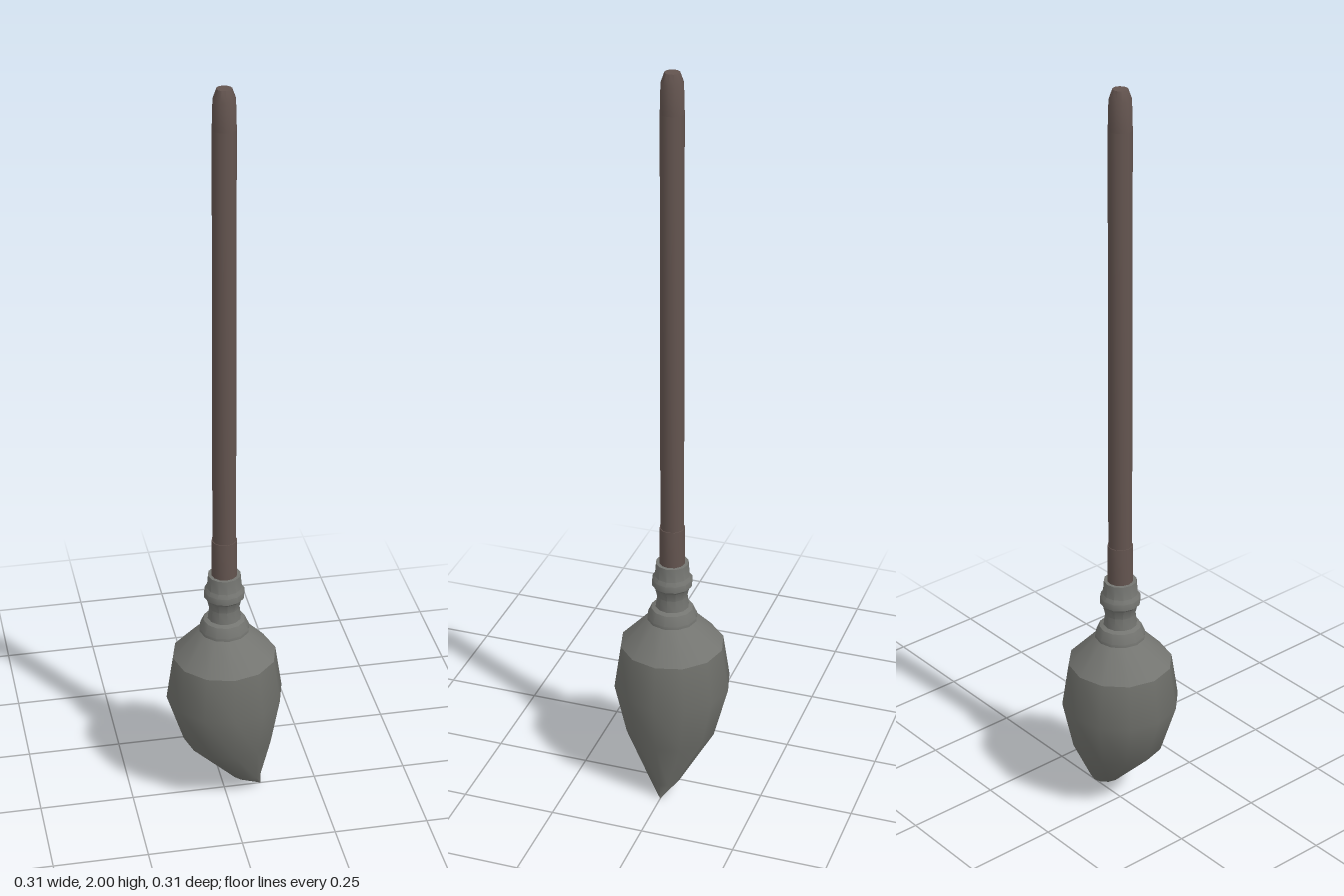
import * as THREE from 'three';
import { toCreasedNormals } from 'three/addons/utils/BufferGeometryUtils.js';

const SIDES = 12;

// Turned part from [radius, height] pairs, listed bottom to top
function turned(name, profile, material, crease = 0.6) {
  const lathe = new THREE.LatheGeometry(profile.map(([r, y]) => new THREE.Vector2(r, y)), SIDES);
  const mesh = new THREE.Mesh(crease ? toCreasedNormals(lathe, crease) : lathe, material);
  mesh.name = name;
  return mesh;
}

export function createModel() {
  const wood = new THREE.MeshStandardMaterial({ color: 0x63544f });
  wood.name = 'dark wood';
  const metal = new THREE.MeshStandardMaterial({ color: 0x747571 });
  metal.name = 'grey metal';
  const hair = new THREE.MeshStandardMaterial({ color: 0x6f706b });
  hair.name = 'grey bristle';

  const group = new THREE.Group();
  group.name = 'brush';

  // Long handle with a thicker lower sleeve and a rounded end
  group.add(turned('handleSleeve', [[0.034, 0.66], [0.033, 0.785], [0.029, 0.785]], wood));
  group.add(turned('handle', [[0.031, 0.7], [0.03, 1.9]], wood));
  group.add(turned('handleEnd', [[0.03, 1.9], [0.028, 1.975], [0.019, 2], [0, 2]], wood));

  // Collar with a waist, a raised ring and a flared foot
  group.add(turned('collar', [
    [0.066, 0.51], [0.066, 0.523], [0.055, 0.548], [0.044, 0.553], [0.04, 0.585],
    [0.046, 0.61], [0.053, 0.617], [0.053, 0.635], [0.046, 0.645], [0.043, 0.682], [0.03, 0.682],
  ], metal));

  // Shoulder between collar and bristles
  group.add(turned('shoulder', [[0.137, 0.44], [0.066, 0.515], [0.05, 0.515]], metal));

  // Bristle head: rings of [radius, height, sideways shift] bending to the left tip
  const rings = [[0, 0.004, 0.1], [0.041, 0.048, 0.06], [0.12, 0.18, 0.01], [0.155, 0.32, 0], [0.137, 0.44, 0]];
  const bristles = turned('bristles', rings, hair, 0);
  const pos = bristles.geometry.attributes.position;
  for (let i = 0; i < pos.count; i++) pos.setX(i, pos.getX(i) + rings[i % rings.length][2]);
  bristles.geometry.computeVertexNormals();

  // Join the normals where the head closes on itself
  const normal = bristles.geometry.attributes.normal;
  for (let j = 0; j < rings.length; j++) {
    const last = SIDES * rings.length + j;
    const n = new THREE.Vector3().fromBufferAttribute(normal, j);
    n.add(new THREE.Vector3().fromBufferAttribute(normal, last)).normalize();
    normal.setXYZ(j, n.x, n.y, n.z);
    normal.setXYZ(last, n.x, n.y, n.z);
  }
  group.add(bristles);

  return group;
}
